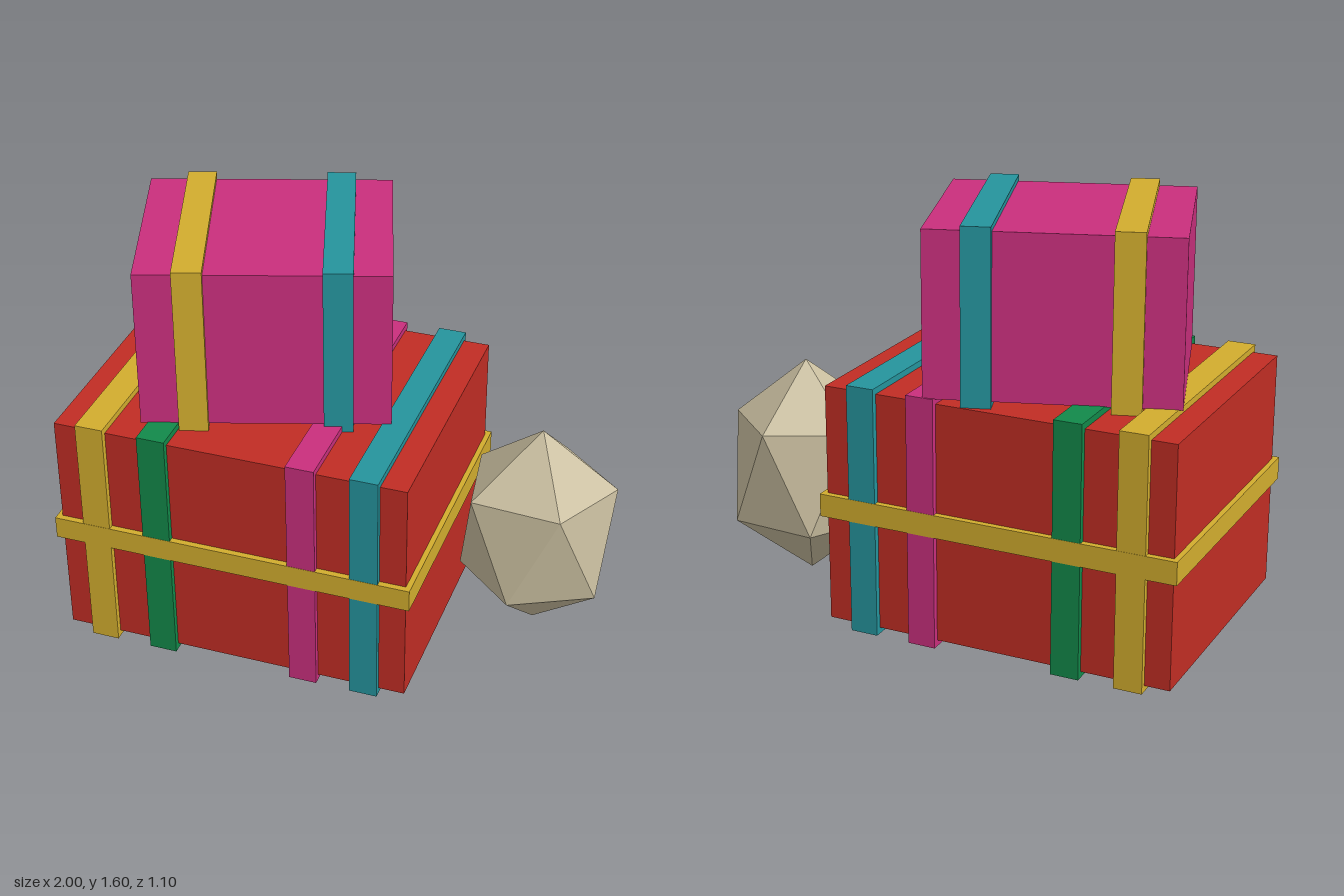
import * as THREE from 'three';
import { ConvexGeometry } from 'three/addons/geometries/ConvexGeometry.js';

const flat = (name, color) => {
  const m = new THREE.MeshStandardMaterial({ color, flatShading: true });
  m.name = name;
  return m;
};

export function createModel() {
  const red = flat('red', 0xc12d24);
  const gold = flat('gold', 0xd2ad2e);
  const green = flat('green', 0x12894a);
  const teal = flat('teal', 0x25949d);
  const pink = flat('pink', 0xc92f7d);
  const stone = flat('stone', 0xc9be9f);

  const model = new THREE.Group();
  model.name = 'giftsAndRock';

  const addBox = (parent, name, material, size, x = 0, y = 0, z = 0) => {
    const mesh = new THREE.Mesh(new THREE.BoxGeometry(...size), material);
    mesh.name = name;
    mesh.position.set(x, y, z);
    parent.add(mesh);
  };

  // Large present with four upright bands and one belt
  const large = new THREE.Group();
  large.name = 'largePresent';
  large.position.set(-0.3, 0.484, 0);
  addBox(large, 'largeBox', red, [1.36, 0.92, 1.05]);
  [[-0.53, gold], [-0.287, green], [0.285, pink], [0.525, teal]].forEach(([x, mat]) =>
    addBox(large, mat.name + 'Ribbon', mat, [0.108, 0.968, 1.096], x));
  addBox(large, 'beltRibbon', gold, [1.4, 0.088, 1.098]);
  model.add(large);

  // Small present, turned on top of the large one
  const small = new THREE.Group();
  small.name = 'smallPresent';
  small.position.set(-0.347, 1.273, -0.05);
  small.rotation.y = 0.316;
  addBox(small, 'smallBox', pink, [0.915, 0.615, 0.748]);
  [[-0.263, gold], [0.265, teal]].forEach(([x, mat]) =>
    addBox(small, mat.name + 'SmallRibbon', mat, [0.108, 0.655, 0.79], x));
  model.add(small);

  // Faceted rock: a pole and a ring of five, each mirrored through the centre
  const upper = [
    [0, 0.4375, 0], [0.2875, 0.2, -0.053], [0.043, 0.2, -0.264],
    [-0.262, 0.2, -0.113], [-0.213, 0.2, 0.207], [0.135, 0.2, 0.232],
  ].map((p) => new THREE.Vector3(...p));
  const lower = upper.map((p) => p.clone().negate());
  const rock = new THREE.Mesh(new ConvexGeometry([...upper, ...lower]), stone);
  rock.name = 'rock';
  rock.position.set(0.7085, 0.4375, -0.11);
  model.add(rock);

  return model;
}
